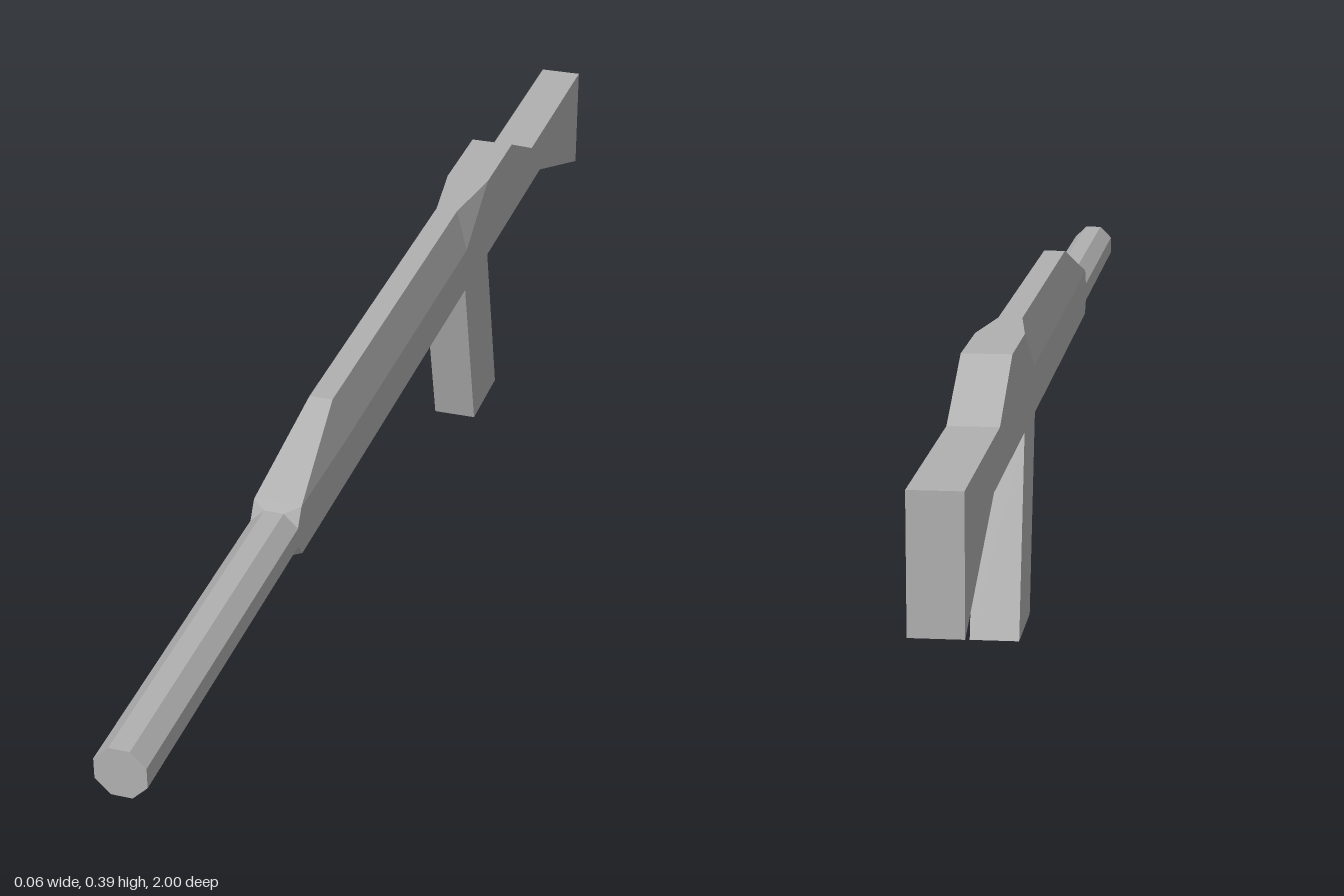
import * as THREE from 'three';

const W = 0.032; // half width

// Eight-point section, counter-clockwise seen from the front, from its right half
function section(z, right) {
  const left = right.slice().reverse().map(([x, y]) => [-x, y]);
  const loop = [...right, ...left]; // starts at bottom right
  return loop.map(([x, y]) => new THREE.Vector3(x, y, z));
}

// Octagonal barrel section
const octagon = (z) => section(z, [[0.013, 0.26], [W, 0.279], [W, 0.306], [0.013, 0.325]]);

// Body section: square bottom, shoulder height, then top edge (half width and height)
const body = (z, bottom, shoulder, topW, top) =>
  section(z, [[W, bottom], [W, bottom], [W, shoulder], [topW, top]]);

// Flat-shaded skin over sections ordered front to back
function loft(sections, capFront, capBack) {
  const pos = [];
  const tri = (a, b, c) => {
    const area = b.clone().sub(a).cross(c.clone().sub(a)).length();
    if (area > 1e-9) for (const p of [a, b, c]) pos.push(p.x, p.y, p.z);
  };
  for (let s = 0; s + 1 < sections.length; s++) {
    const a = sections[s], b = sections[s + 1];
    for (let i = 0; i < 8; i++) {
      const j = (i + 1) % 8;
      if (i < 4) { // mirrored diagonals on the two sides
        tri(a[i], b[i], b[j]);
        tri(a[i], b[j], a[j]);
      } else {
        tri(a[i], b[i], a[j]);
        tri(b[i], b[j], a[j]);
      }
    }
  }
  const first = sections[0], last = sections[sections.length - 1];
  for (let i = 1; i < 7; i++) {
    if (capFront) tri(first[0], first[i], first[i + 1]);
    if (capBack) tri(last[0], last[i + 1], last[i]);
  }
  const g = new THREE.BufferGeometry();
  g.setAttribute('position', new THREE.Float32BufferAttribute(pos, 3));
  g.computeVertexNormals();
  return g;
}

export function createModel() {
  const group = new THREE.Group();
  const grey = new THREE.MeshStandardMaterial({ color: 0xb0b0b0 });
  grey.name = 'grey';
  const add = (name, geometry) => {
    const mesh = new THREE.Mesh(geometry, grey);
    mesh.name = name;
    group.add(mesh);
  };

  add('barrel', loft([octagon(1), octagon(0.485)], true, false));

  // Receiver: chamfered nose, ramp, narrow-topped middle, square rear slope
  add('receiver', loft([
    octagon(0.485),
    body(0.47, 0.26, 0.33, W, 0.33),
    body(0.295, 0.26, 0.325, 0.016, 0.388),
    body(-0.295, 0.26, 0.325, 0.016, 0.388),
    body(-0.41, 0.26, 0.325, W, 0.388),
    body(-0.55, 0.26, 0.325, W, 0.388),
    body(-0.68, 0.26, 0.325, W, 0.325),
  ], false, false));

  add('stock', loft([
    body(-0.68, 0.26, 0.325, W, 0.325),
    body(-0.74, 0.26, 0.325, W, 0.325),
    body(-1, 0.16, 0.325, W, 0.325),
  ], false, true));

  // Slanted grip, drawn in z and y, then turned across the body
  const outline = new THREE.Shape([[-0.48, 0], [-0.355, 0], [-0.29, 0.26], [-0.415, 0.26]]
    .map(([z, y]) => new THREE.Vector2(z, y)));
  const grip = new THREE.ExtrudeGeometry(outline, { depth: 2 * W, bevelEnabled: false });
  grip.rotateY(-Math.PI / 2).translate(W, 0, 0);
  add('grip', grip);

  return group;
}
